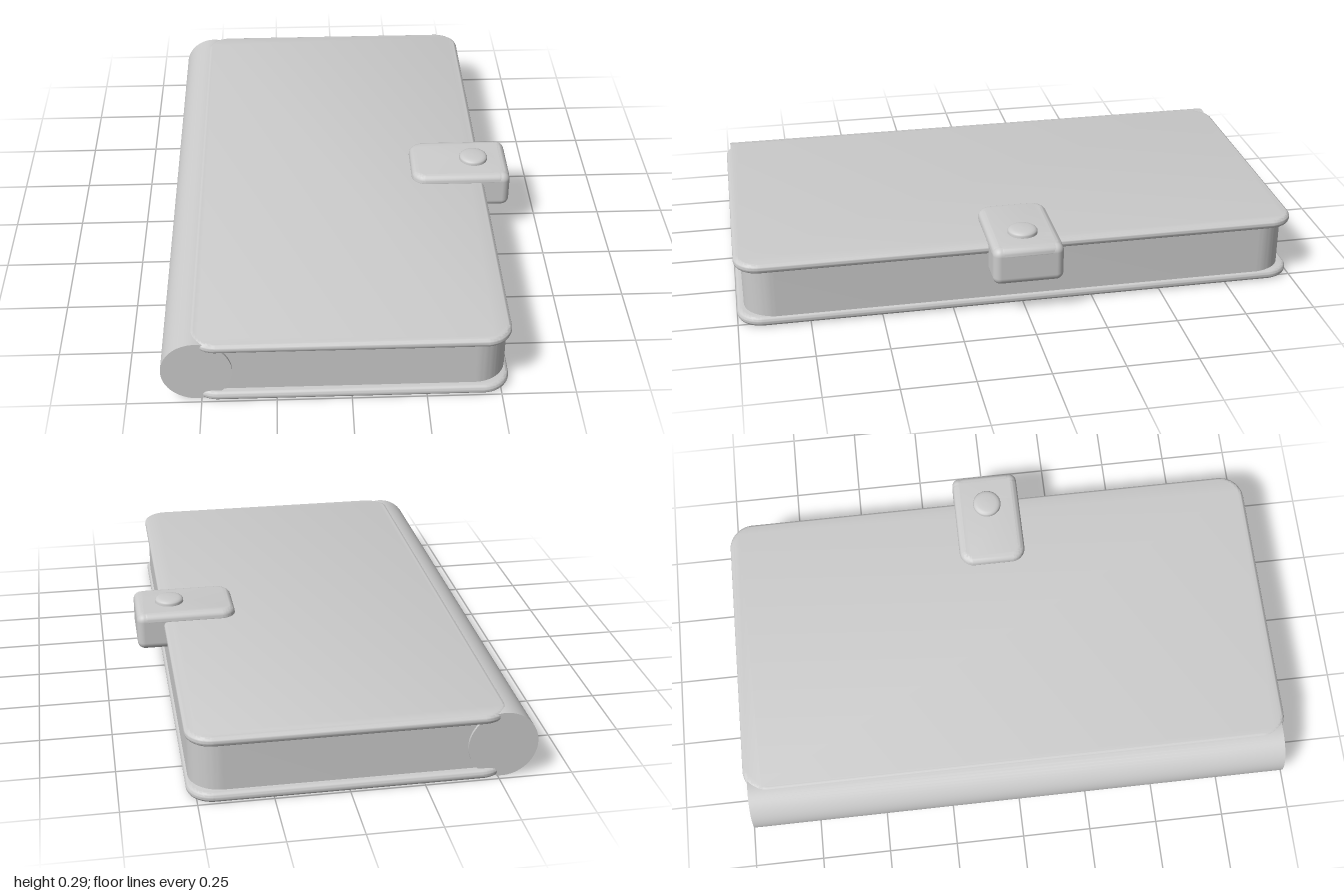
import * as THREE from 'three';
import { toCreasedNormals } from 'three/addons/utils/BufferGeometryUtils.js';
import { RoundedBoxGeometry } from 'three/addons/geometries/RoundedBoxGeometry.js';

const material = new THREE.MeshStandardMaterial({ color: 0xcccccc });

function part(name, geometry, parent) {
  const mesh = new THREE.Mesh(geometry, material);
  mesh.name = name;
  parent.add(mesh);
  return mesh;
}

// Horizontal slab between x0..x1 and y0..y1, centred on z, with corner radii
// for the left and right ends and an optional rounded rim.
function slab(x0, x1, y0, y1, depth, rLeft, rRight, bevel = 0) {
  const a = x0 + bevel, b = x1 - bevel, d = depth / 2 - bevel;
  const l = Math.max(rLeft - bevel, 0), r = Math.max(rRight - bevel, 0);
  const s = new THREE.Shape();
  s.moveTo(a + l, -d);
  s.lineTo(b - r, -d);
  if (r) s.absarc(b - r, -d + r, r, -Math.PI / 2, 0);
  s.lineTo(b, d - r);
  if (r) s.absarc(b - r, d - r, r, 0, Math.PI / 2);
  s.lineTo(a + l, d);
  if (l) s.absarc(a + l, d - l, l, Math.PI / 2, Math.PI);
  s.lineTo(a, -d + l);
  if (l) s.absarc(a + l, -d + l, l, Math.PI, Math.PI * 1.5);
  const g = new THREE.ExtrudeGeometry(s, {
    depth: y1 - y0 - 2 * bevel,
    bevelEnabled: bevel > 0,
    bevelSize: bevel,
    bevelThickness: bevel,
    bevelSegments: 6,
    curveSegments: 12,
  });
  g.rotateX(-Math.PI / 2).translate(0, y0 + bevel, 0);
  return toCreasedNormals(g, 0.6);
}

export function createModel() {
  const book = new THREE.Group();
  book.name = 'claspedBook';

  // Covers
  part('backCover', slab(-0.535, 0.53, 0, 0.035, 2, 0.09, 0.09, 0.017), book);
  part('frontCover', slab(-0.535, 0.53, 0.205, 0.24, 2, 0.09, 0.09, 0.017), book);

  // Page block
  part('pages', slab(-0.5, 0.52, 0.02, 0.22, 1.95, 0, 0.11), book);

  // Round spine
  const spine = new THREE.CylinderGeometry(0.118, 0.118, 1.968, 64);
  spine.rotateX(Math.PI / 2);
  part('spine', spine, book).position.set(-0.513, 0.12, 0);

  // Clasp: strap over the cover, block down the fore edge, button on top
  const clasp = new THREE.Group();
  clasp.name = 'clasp';
  book.add(clasp);
  part('strap', slab(0.262, 0.628, 0.215, 0.268, 0.25, 0.055, 0.045, 0.025), clasp);
  part('claspBlock', new RoundedBoxGeometry(0.138, 0.138, 0.25, 6, 0.028), clasp)
    .position.set(0.559, 0.199, 0);

  const profile = [[0.053, -0.01], [0.053, 0.008], [0.05, 0.013], [0.044, 0.017],
    [0.035, 0.019], [0.02, 0.0205], [0, 0.021]].map(([x, y]) => new THREE.Vector2(x, y));
  part('button', new THREE.LatheGeometry(profile, 40), clasp).position.set(0.5, 0.267, 0);

  return book;
}
